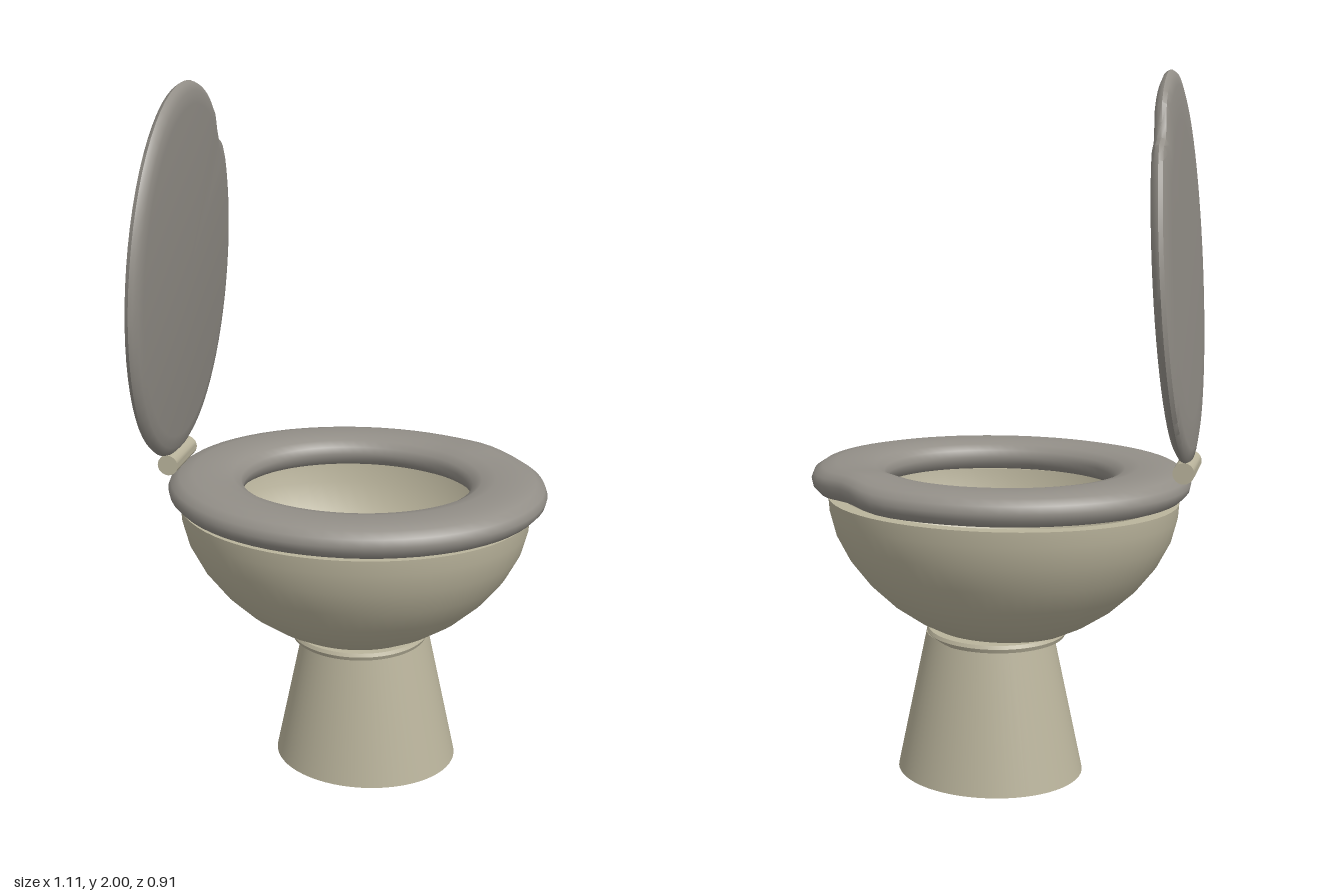
import * as THREE from 'three';
import { toCreasedNormals } from 'three/addons/utils/BufferGeometryUtils.js';

const ceramic = new THREE.MeshStandardMaterial({ color: 0xbab49c });
ceramic.name = 'cream ceramic';
const plastic = new THREE.MeshStandardMaterial({ color: 0x938f88 });
plastic.name = 'grey plastic';

// Revolved profile, squashed in z to an oval
function oval(profile, zScale, segments = 64) {
  const points = profile.map(([r, y]) => new THREE.Vector2(r, y));
  return new THREE.LatheGeometry(points, segments).scale(1, 1, zScale);
}

// Presses the rim in around one angle and lifts it a little
function dent(geometry, { zScale, radius, angle, width, depth, lift }) {
  const p = geometry.attributes.position;
  for (let i = 0; i < p.count; i++) {
    const x = p.getX(i), z = p.getZ(i) / zScale;
    const r = Math.hypot(x, z) / radius;
    const d = (Math.atan2(z, x) - angle) / width;
    const w = Math.exp(-d * d) * Math.pow(r, 4);
    const k = 1 - depth * w;
    p.setXYZ(i, x * k, p.getY(i) + lift * w, z * zScale * k);
  }
  return geometry;
}

function addPart(group, name, geometry, material, x = 0, y = 0, z = 0) {
  const mesh = new THREE.Mesh(toCreasedNormals(geometry, 0.75), material);
  mesh.name = name;
  mesh.position.set(x, y, z);
  group.add(mesh);
  return mesh;
}

export function createModel() {
  const group = new THREE.Group();
  group.name = 'toilet';

  // Tapered foot, set slightly off the bowl's centre
  const foot = oval([[0, 0], [0.273, 0], [0.186, 0.415], [0, 0.415]], 0.85);
  addPart(group, 'pedestal', foot, ceramic, 0.03, 0, -0.028);

  // Thin collar between foot and bowl
  const collar = oval([[0, 0], [0.2, 0], [0.205, 0.012], [0.2, 0.022], [0, 0.022]], 0.95);
  addPart(group, 'collar', collar, ceramic, 0.015, 0.405, -0.005);

  // Bowl: outer wall, rim, inner wall and flat floor
  const bowl = oval([
    [0, 0.42], [0.19, 0.42], [0.26, 0.455], [0.33, 0.502], [0.395, 0.562],
    [0.45, 0.632], [0.488, 0.705], [0.505, 0.77], [0.508, 0.812],
    [0.465, 0.812], [0.455, 0.745], [0.42, 0.66], [0.36, 0.58],
    [0.285, 0.515], [0.195, 0.465], [0, 0.465],
  ], 0.805);
  addPart(group, 'bowl', bowl, ceramic);

  // Seat ring with rounded edges and one warped corner
  const seat = oval([
    [0.327, 0.87], [0.332, 0.848], [0.35, 0.832], [0.385, 0.825], [0.49, 0.825],
    [0.525, 0.833], [0.543, 0.852], [0.547, 0.87], [0.539, 0.89], [0.515, 0.906],
    [0.475, 0.914], [0.4, 0.913], [0.36, 0.905], [0.335, 0.89], [0.327, 0.87],
  ], 0.835);
  dent(seat, { zScale: 0.835, radius: 0.547, angle: -0.8, width: 0.2, depth: 0.035, lift: 0.012 });
  addPart(group, 'seat', seat, plastic, 0.007, 0, 0);

  // Raised lid, leaning a little towards the bowl, with a nick in its rim
  const lid = oval([
    [0, -0.022], [0.47, -0.022], [0.505, -0.018], [0.525, -0.008], [0.53, 0.003],
    [0.522, 0.014], [0.49, 0.021], [0.4, 0.023], [0, 0.024],
  ], 0.812);
  dent(lid, { zScale: 0.812, radius: 0.53, angle: -0.75, width: 0.1, depth: 0.08, lift: 0 });
  lid.rotateZ(Math.PI / 2 - 0.066);
  addPart(group, 'lid', lid, plastic, -0.497, 1.47, -0.003);

  // Hinge rod under the lid
  const hinge = new THREE.CylinderGeometry(0.03, 0.03, 0.185, 24).rotateX(Math.PI / 2);
  addPart(group, 'hinge', hinge, ceramic, -0.53, 0.925, -0.002);

  return group;
}
